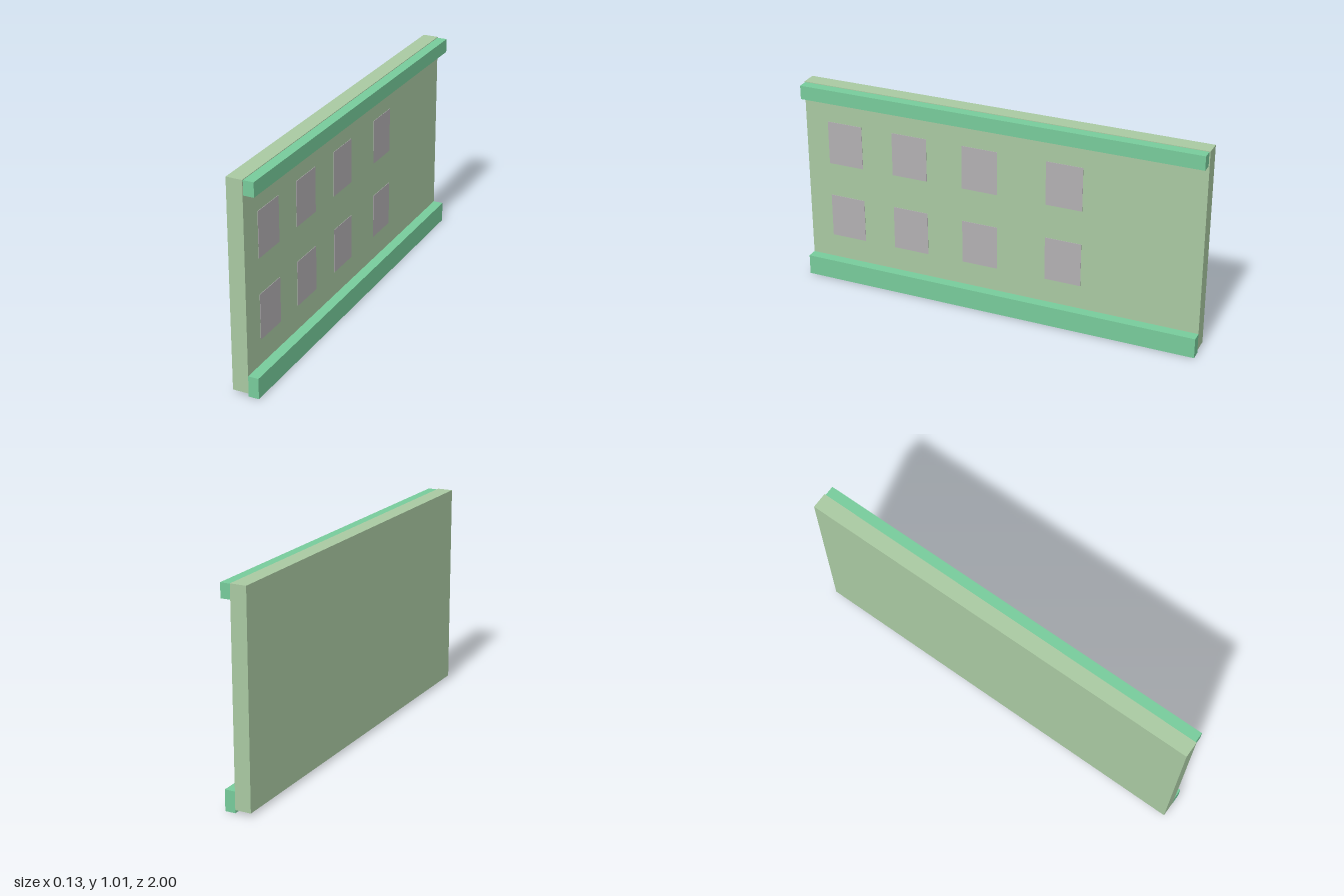
import * as THREE from 'three';

export function createModel() {
  const model = new THREE.Group();
  const wallMat = new THREE.MeshStandardMaterial({ color: 0xa9c9a2 });
  const trimMat = new THREE.MeshStandardMaterial({ color: 0x77cb9b });
  const windowMat = new THREE.MeshStandardMaterial({ color: 0xb2b0b2 });

  // Box given by its minimum and maximum corners
  const addBox = (name, material, [x0, y0, z0], [x1, y1, z1]) => {
    const mesh = new THREE.Mesh(new THREE.BoxGeometry(x1 - x0, y1 - y0, z1 - z0), material);
    mesh.position.set((x0 + x1) / 2, (y0 + y1) / 2, (z0 + z1) / 2);
    mesh.name = name;
    model.add(mesh);
  };

  // Wall slab with a cornice and a plinth along its outer face
  const face = 0.013;
  addBox('wall', wallMat, [-0.064, 0.015, -1], [face, 1.013, 1]);
  addBox('cornice', trimMat, [face, 0.942, -0.995], [0.063, 1.01, 0.995]);
  addBox('plinth', trimMat, [face, 0, -1], [0.063, 0.1, 1]);

  // Two rows of thin window panels, standing just proud of the wall
  for (const y of [0.22, 0.608]) {
    for (const z of [0.793, 0.453, 0.091, -0.331]) {
      addBox('window', windowMat, [face - 0.005, y, z - 0.09], [face + 0.002, y + 0.218, z + 0.09]);
    }
  }
  return model;
}
